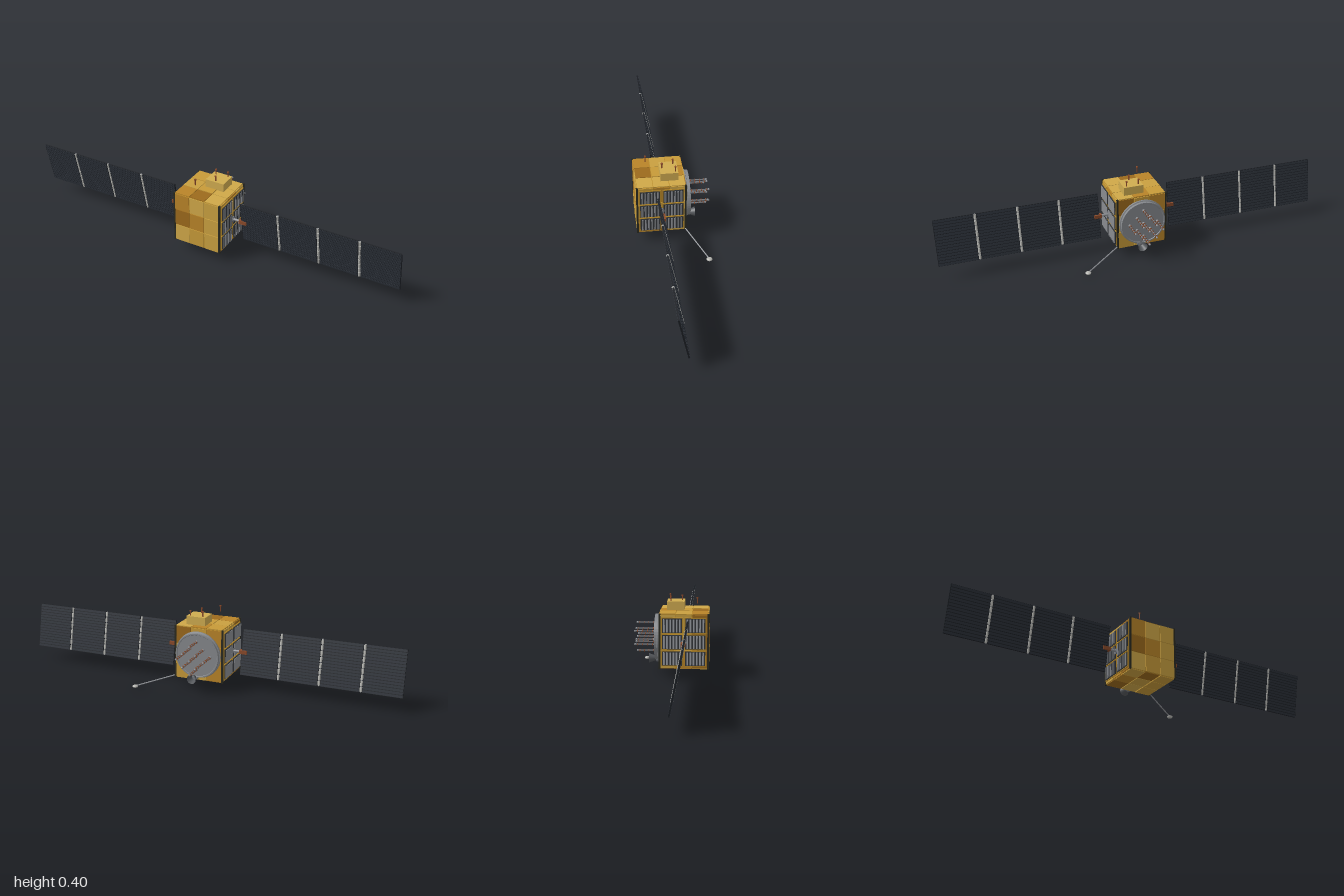
import * as THREE from 'three';

const mat = (color) => new THREE.MeshStandardMaterial({ color });
const golds = [0xd0a848, 0xb98428, 0xc79a38, 0x9c6a1c, 0xc9a040].map(mat);
const gold = mat(0xb88a28), paleGold = mat(0xd0ac50), dark = mat(0x2a2a20), black = mat(0x1a1d22);
const cellMat = mat(0x2b3038), grey = mat(0x8a8d92), light = mat(0xb5b5b0), steel = mat(0x74787e);
const brown = mat(0x8a4a2a), radiatorMat = mat(0x33363a);
const coneMat = new THREE.MeshStandardMaterial({ color: 0x55585c, side: THREE.DoubleSide });

function add(parent, name, geometry, material, x = 0, y = 0, z = 0) {
  const m = new THREE.Mesh(geometry, material);
  m.name = name;
  m.position.set(x, y, z);
  parent.add(m);
  return m;
}
const box = (w, h, d) => new THREE.BoxGeometry(w, h, d);
const cyl = (r1, r2, h, n = 16) => new THREE.CylinderGeometry(r1, r2, h, n);
const cylZ = (r1, r2, h, n) => cyl(r1, r2, h, n).rotateX(-Math.PI / 2); // r1 faces -z
const cylX = (r, h) => cyl(r, r, h).rotateZ(Math.PI / 2);

function group(parent, name, x = 0, y = 0, z = 0) {
  const g = new THREE.Group();
  g.name = name;
  g.position.set(x, y, z);
  parent.add(g);
  return g;
}

const W = 0.248, H = 0.268, D = 0.238, CY = 0.192, CZ = 0.0635;

// Foil blanket: 3 x 3 tiles lying on one face of the bus
function foilFace(parent, name, w, h, depth, rotX, rotY, seed) {
  const g = group(parent, name);
  g.rotation.set(rotX, rotY, 0);
  for (let i = 0; i < 3; i++) for (let j = 0; j < 3; j++) {
    const k = (i * 2 + j * 3 + seed + i * j) % 5;
    const t = 0.005 + (k % 3) * 0.0008;
    add(g, 'foilTile', box(w / 3 - 0.003, h / 3 - 0.003, t), golds[k],
      (i - 1) * w / 3, (j - 1) * h / 3, depth / 2 + t / 2 - 0.002);
  }
}

// Louvred radiators, 2 x 3 on each flank
function radiators(parent, s) {
  const g = group(parent, 'radiatorBank');
  for (const z of [0.12, 0.006]) for (const y of [0.273, 0.191, 0.109]) {
    add(g, 'radiatorFrame', box(0.006, 0.078, 0.106), gold, s * 0.129, y, z);
    add(g, 'radiatorPanel', box(0.012, 0.07, 0.098), radiatorMat, s * 0.13, y, z);
    for (let i = 0; i < 6; i++) {
      const slat = add(g, 'radiatorSlat', box(0.003, 0.064, 0.008), grey, s * 0.138, y, z + (i - 2.5) * 0.0155);
      slat.rotation.y = s * 0.4;
    }
  }
}

// Solar wing: four hinged panels with cell rows on both sides
function wing(parent, s) {
  const root = group(parent, 'solarWing', 0, 0.191, 0.063);
  add(root, 'driveShaft', cylX(0.006, 0.09), grey, s * 0.165);
  add(root, 'driveHousing', box(0.04, 0.018, 0.024), brown, s * 0.192);
  add(root, 'driveFlange', cylX(0.014, 0.008), steel, s * 0.135);
  const g = group(root, 'panelArray');
  g.rotation.x = 0.2;
  const pitch = 0.2055, pw = 0.1945, ph = 0.233, rows = 16;
  for (let p = 0; p < 4; p++) {
    const x = s * (0.184 + pw / 2 + p * pitch + p * 0.0016 - 0.0001);
    add(g, 'solarPanel', box(pw, ph, 0.007), black, x);
    for (let r = 0; r < rows; r++) {
      const y = (r - (rows - 1) / 2) * ph / rows;
      add(g, 'cellRow', box(pw - 0.004, ph / rows - 0.0035, 0.0095), cellMat, x, y);
    }
    if (p === 3) continue;
    const hx = x + s * (pw / 2 + 0.0062);
    add(g, 'hingePin', cyl(0.003, 0.003, ph, 8), grey, hx);
    for (let i = 0; i < 8; i++)
      add(g, 'hingeKnuckle', cyl(0.0062, 0.0062, ph / 8 - 0.005, 10), light, hx, (i - 3.5) * ph / 8);
  }
}

// Ringed rod antenna pointing backwards
function rodAntenna(parent, x, y, length) {
  const g = group(parent, 'rodAntenna', x, y, -0.083);
  add(g, 'rod', cylZ(0.0035, 0.0035, length, 10), steel, 0, 0, -length / 2);
  add(g, 'rodBase', cylZ(0.005, 0.007, 0.008, 12), grey, 0, 0, -0.003);
  for (let i = 0; i < 4; i++)
    add(g, 'rodRing', cylZ(0.0065, 0.0065, 0.003, 12), brown, 0, 0, -length * (0.13 + i * 0.25));
  add(g, 'rodTip', new THREE.SphereGeometry(0.0055, 12, 8), grey, 0, 0, -length);
}

export function createModel() {
  const model = new THREE.Group();
  model.name = 'satellite';

  // Bus
  const bus = group(model, 'bus', 0, CY, CZ);
  add(bus, 'busCore', box(W, H, D), gold);
  foilFace(bus, 'frontFoil', W, H, D, 0, 0, 0);
  foilFace(bus, 'backFoil', W, H, D, 0, Math.PI, 2);
  foilFace(bus, 'topFoil', W, D, H, -Math.PI / 2, 0, 1);
  foilFace(bus, 'bottomFoil', W, D, H, Math.PI / 2, 0, 3);
  foilFace(bus, 'leftFoil', D, H, W, 0, Math.PI / 2, 1);
  foilFace(bus, 'rightFoil', D, H, W, 0, -Math.PI / 2, 4);
  for (const s of [-1, 1]) {
    for (const t of [-1, 1])
      add(bus, 'cornerPost', box(0.009, 0.275, 0.009), dark, s * 0.1255, 0, t * 0.119);
    radiators(model, s);
    wing(model, s);
  }

  // Roof box and stub antennas
  add(model, 'roofBox', box(0.1, 0.044, 0.087), paleGold, 0.03, 0.35, 0.019);
  for (const [x, z] of [[-0.04, 0.127], [0.03, 0.051], [0, -0.006], [0.063, -0.012]]) {
    const g = group(model, 'stubAntenna', x, 0.383, z);
    add(g, 'stubRod', cyl(0.0028, 0.0028, 0.031, 10), brown);
    add(g, 'stubCap', cyl(0.005, 0.005, 0.006, 12), brown, 0, 0.014);
  }

  // Rear antenna dish: stepped round plate
  const profile = [[0, 0.056], [0.119, 0.056], [0.119, 0.068], [0.114, 0.07], [0.114, 0.084],
    [0.108, 0.084], [0.106, 0.081], [0, 0.081]].map(([r, h]) => new THREE.Vector2(r, h));
  const plateGeo = new THREE.LatheGeometry(profile, 48).rotateX(-Math.PI / 2).toNonIndexed();
  plateGeo.computeVertexNormals();
  const plate = add(model, 'rearPlate', plateGeo, steel, 0, 0.191, 0);
  plate.material = new THREE.MeshStandardMaterial({ color: 0x85888c, side: THREE.DoubleSide });
  rodAntenna(model, 0, 0.191, 0.09);
  for (const s of [-1, 1]) {
    rodAntenna(model, s * 0.072, 0.191, 0.09);
    rodAntenna(model, 0, 0.191 + s * 0.072, 0.09);
    for (const t of [-1, 1]) rodAntenna(model, s * 0.034, 0.191 + t * 0.034, 0.1);
  }

  // Thruster
  add(model, 'thrusterMount', cylZ(0.014, 0.016, 0.026, 20), steel, 0.015, 0.073, -0.068);
  add(model, 'thrusterNozzle', new THREE.CylinderGeometry(0.024, 0.01, 0.04, 28, 1, true)
    .rotateX(-Math.PI / 2), coneMat, 0.015, 0.076, -0.097);

  // Boom with a small end pad
  const a = new THREE.Vector3(0.12, 0.066, -0.05), b = new THREE.Vector3(0.311, 0.009, -0.151);
  add(model, 'boom', new THREE.TubeGeometry(new THREE.LineCurve3(a, b), 1, 0.0032, 10), grey);
  add(model, 'boomPad', new THREE.SphereGeometry(0.0145, 20, 12).scale(1, 0.5, 1), light, b.x, 0.0075, b.z);
  return model;
}
